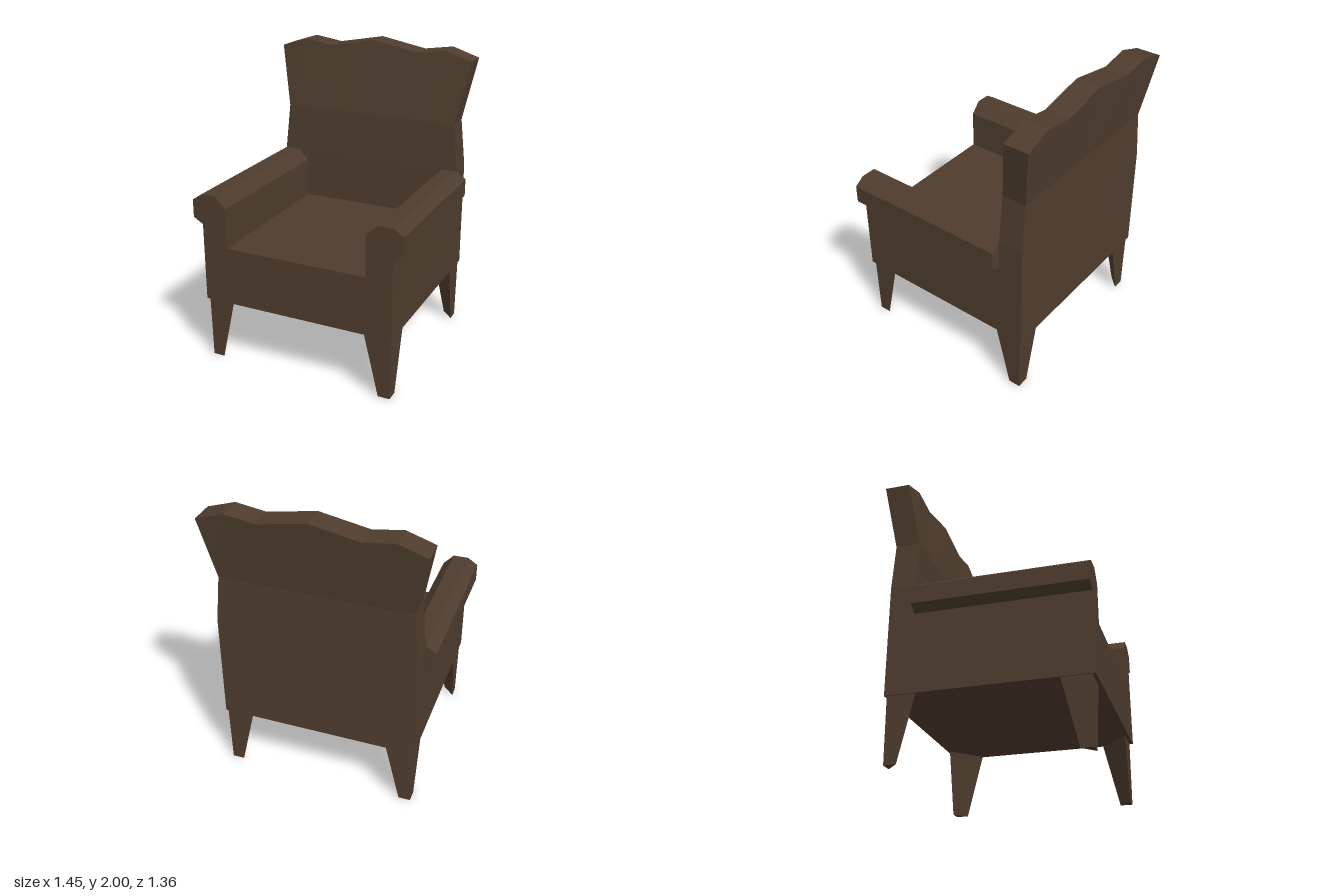
import * as THREE from 'three';

// Closed solid through rings of [x, y, z] points, counterclockwise from above, bottom ring first
function loft(rings) {
  const pos = [];
  const quad = (a, b, c, d) => pos.push(...a, ...b, ...c, ...a, ...c, ...d);
  const n = rings[0].length;
  for (let r = 0; r < rings.length - 1; r++) {
    const lo = rings[r], hi = rings[r + 1];
    for (let i = 0; i < n; i++) {
      const j = (i + 1) % n;
      quad(lo[i], lo[j], hi[j], hi[i]);
    }
  }
  // Caps join opposite points of the ring
  const bottom = rings[0], top = rings[rings.length - 1];
  for (let i = 0; i < Math.floor((n - 1) / 2); i++) {
    quad(top[i], top[i + 1], top[n - 2 - i], top[n - 1 - i]);
    quad(bottom[n - 1 - i], bottom[n - 2 - i], bottom[i + 1], bottom[i]);
  }
  const geo = new THREE.BufferGeometry();
  geo.setAttribute('position', new THREE.Float32BufferAttribute(pos, 3));
  geo.computeVertexNormals();
  return geo;
}

export function createModel() {
  const chair = new THREE.Group();
  chair.name = 'armchair';
  const brown = new THREE.MeshStandardMaterial({ color: 0x4f3d2e });
  brown.name = 'brown leather';
  const add = (name, geo) => {
    const mesh = new THREE.Mesh(geo, brown);
    mesh.name = name;
    chair.add(mesh);
  };

  // Seat and rolled arms: one front profile, mirrored and extruded backwards
  const half = [[0.66, 0.43], [0.66, 0.96], [0.727, 1.0], [0.727, 1.12], [0.66, 1.165],
    [0.555, 1.165], [0.485, 1.09], [0.485, 0.82]];
  const outline = [...half, ...half.map(([x, y]) => [-x, y]).reverse()];
  const shape = new THREE.Shape(outline.map(([x, y]) => new THREE.Vector2(x, y)));
  const seat = new THREE.ExtrudeGeometry(shape, { depth: 1.125, bevelEnabled: false });
  seat.translate(0, 0, -0.445);
  add('seatAndArms', seat);

  // Backrest: straight below, leaning and flared above, with a wavy crest
  const crest = [[-0.705, 1.91], [-0.52, 1.97], [-0.32, 1.94], [0, 2],
    [0.32, 1.94], [0.52, 1.97], [0.705, 1.91]];
  const backRing = (halfWidth, y, front, rear) => {
    const row = (z) => crest.map(([x, cy]) => [x * halfWidth / 0.705, y ?? cy, z]);
    return [...row(front), ...row(rear).reverse()];
  };
  add('backrest', loft([
    backRing(0.66, 0.43, -0.445, -0.615),
    backRing(0.66, 1.165, -0.445, -0.615),
    backRing(0.625, 1.49, -0.448, -0.612),
    backRing(0.705, null, -0.515, -0.68),
  ]));

  // Tapered three-sided legs, square to the outer corners
  for (const sx of [-1, 1]) {
    for (const sz of [-1, 1]) {
      const ring = (y, x, z, d) => {
        const pts = [[sx * (x - d), y, sz * z], [sx * x, y, sz * z], [sx * x, y, sz * (z - d)]];
        return sx * sz > 0 ? pts : pts.reverse();
      };
      const z = sz > 0 ? 0.657 : 0.6;
      add((sz > 0 ? 'front' : 'back') + (sx > 0 ? 'Left' : 'Right') + 'Leg',
        loft([ring(0, 0.647, z - 0.003, 0.08), ring(0.432, 0.652, z, 0.186)]));
    }
  }
  return chair;
}
